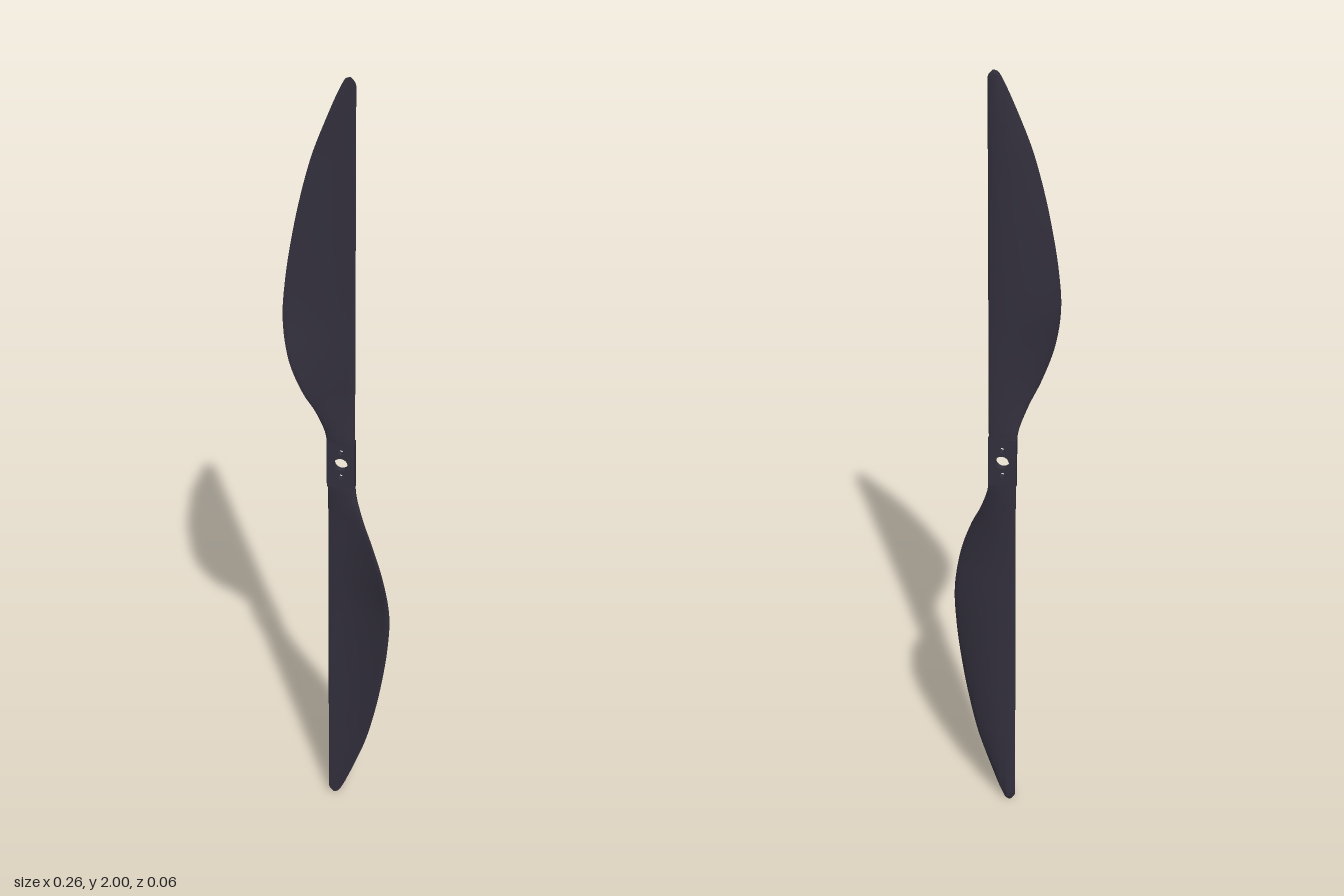
import * as THREE from 'three';
import { toCreasedNormals } from 'three/addons/utils/BufferGeometryUtils.js';

const material = new THREE.MeshStandardMaterial({ color: 0x322f3c });

// Trailing edge of one blade, measured from the hub centre: x, y, z
const trailingEdge = new THREE.CatmullRomCurve3([
  [-0.034, 0.055, -0.018], [-0.039, 0.09, -0.013], [-0.06, 0.15, 0.002],
  [-0.085, 0.205, 0.019], [-0.115, 0.295, 0.031], [-0.13, 0.4, 0.025],
  [-0.125, 0.5, 0.018], [-0.11, 0.61, 0.01], [-0.091, 0.71, 0.003],
  [-0.066, 0.81, -0.005], [-0.034, 0.9, -0.012], [-0.008, 0.965, -0.018],
  [0.003, 0.988, -0.02], [0.009, 0.997, -0.021], [0.016, 1.0, -0.021],
].map((p) => new THREE.Vector3(...p)));

// Twisted, cambered blade lofted from aerofoil sections
function bladeGeometry() {
  const rows = 84, around = 32;
  const positions = [], indices = [];
  for (let i = 0; i <= rows; i++) {
    const t = trailingEdge.getPoint(i / rows);
    const round = Math.max(0, (t.y - 0.98) / 0.02);
    const leadX = 0.033 - 0.012 * round * round;
    const leadZ = -0.021 + 0.003 * (1 - THREE.MathUtils.smoothstep(t.y, 0.055, 0.12));
    const ramp = THREE.MathUtils.smoothstep(t.y, 0.055, 0.2);
    const chord = leadX - t.x;
    const camber = 0.085 * chord * ramp;
    const half = THREE.MathUtils.lerp(0.0085, 0.0015 + 0.035 * chord, ramp);
    const fullness = THREE.MathUtils.lerp(0.3, 0.9, ramp);
    for (let j = 0; j < around; j++) {
      const a = (j / around) * Math.PI * 2;
      const u = (1 - Math.cos(a)) / 2;
      const s = Math.sin(a);
      const thick = half * Math.sign(s) * Math.pow(Math.abs(s), fullness);
      positions.push(
        leadX - chord * u,
        t.y,
        THREE.MathUtils.lerp(leadZ, t.z, u) - camber * 4 * u * (1 - u) + thick,
      );
    }
  }
  for (let i = 0; i < rows; i++) {
    for (let j = 0; j < around; j++) {
      const k = (j + 1) % around;
      const a = i * around + j, b = i * around + k;
      const c = a + around, d = b + around;
      indices.push(a, c, b, b, c, d);
    }
  }
  // Close the root and the tip
  const last = rows * around;
  for (let j = 1; j < around - 1; j++) {
    indices.push(0, j, j + 1, last, last + j + 1, last + j);
  }
  const geometry = new THREE.BufferGeometry();
  geometry.setAttribute('position', new THREE.Float32BufferAttribute(positions, 3));
  geometry.setIndex(indices);
  return toCreasedNormals(geometry, 0.9);
}

// Flat mounting plate with a shaft hole and two screw holes
function hubGeometry() {
  const w = 0.034, h = 0.065;
  const shape = new THREE.Shape();
  shape.moveTo(-w, -h);
  shape.lineTo(w, -h);
  shape.lineTo(w, h);
  shape.lineTo(-w, h);
  shape.closePath();
  for (const [y, r] of [[0, 0.017], [0.034, 0.007], [-0.034, 0.007]]) {
    const hole = new THREE.Path();
    hole.absarc(0, y, r, 0, Math.PI * 2, true);
    shape.holes.push(hole);
  }
  const geometry = new THREE.ExtrudeGeometry(shape, {
    depth: 0.017, bevelEnabled: false, curveSegments: 24,
  });
  geometry.translate(0, 0, -0.0265);
  return geometry;
}

export function createModel() {
  const model = new THREE.Group();
  model.name = 'propeller';

  const hub = new THREE.Mesh(hubGeometry(), material);
  hub.name = 'hub';
  hub.position.y = 1;
  model.add(hub);

  // The lower blade is the upper one turned half a revolution
  const blade = bladeGeometry();
  ['upperBlade', 'lowerBlade'].forEach((name, i) => {
    const mesh = new THREE.Mesh(blade, material);
    mesh.name = name;
    mesh.position.y = 1;
    mesh.rotation.z = i * Math.PI;
    model.add(mesh);
  });
  return model;
}
